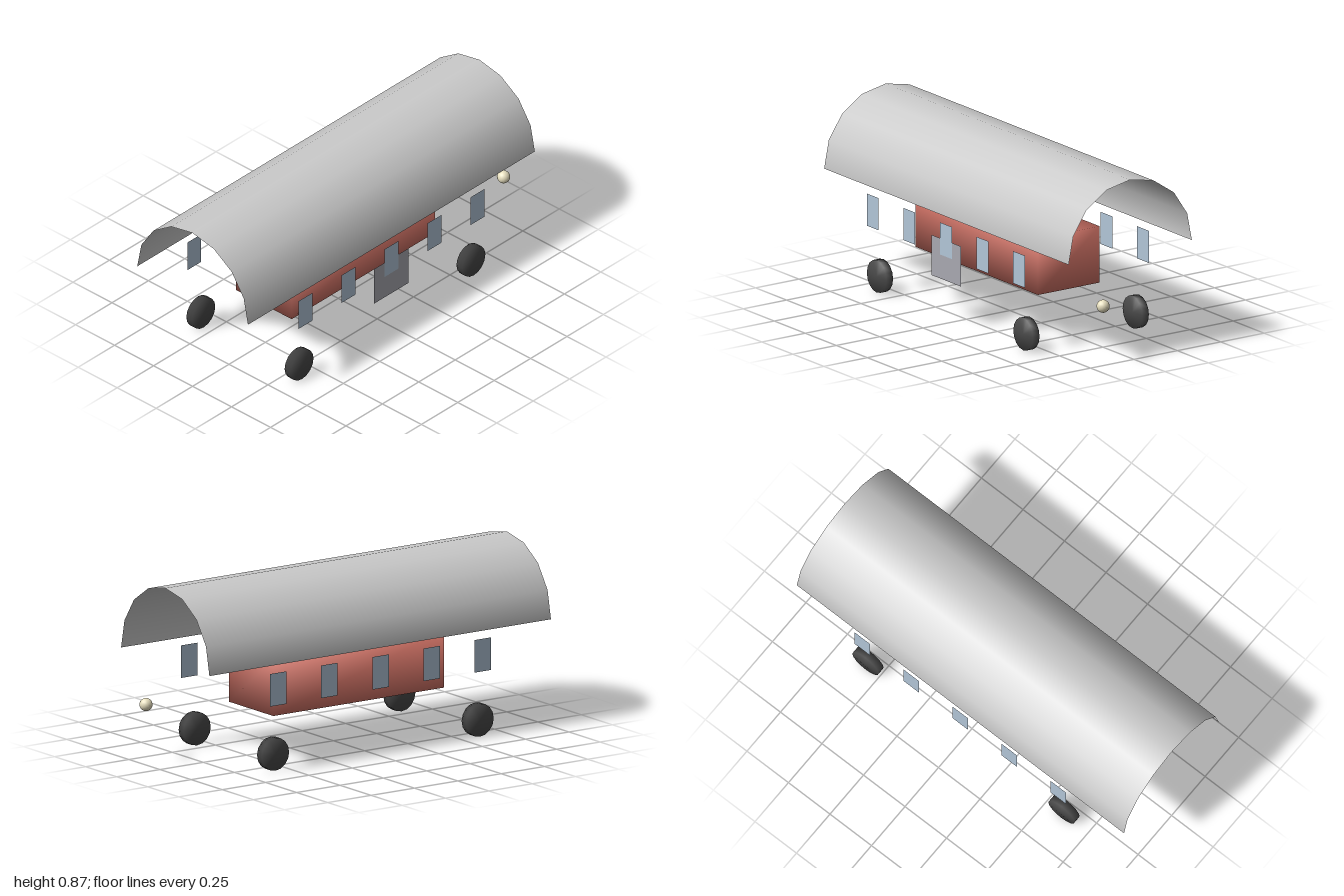
import * as THREE from 'three';
import { mergeVertices } from 'three/addons/utils/BufferGeometryUtils.js';

// Share corner vertices so shading rolls softly over every edge
function soften(geometry) {
  geometry.deleteAttribute('normal');
  geometry.deleteAttribute('uv');
  const merged = mergeVertices(geometry, 1e-4);
  merged.computeVertexNormals();
  return merged;
}

export function createModel() {
  const model = new THREE.Group();
  model.name = 'wagon';

  const paint = (color, side = THREE.FrontSide) => new THREE.MeshStandardMaterial({ color, side });
  const red = paint(0xd9776a);
  const rubber = paint(0x4a4a4a);
  const cream = paint(0xe8e0c0);
  const roofGrey = paint(0xc4c4c4, THREE.DoubleSide);
  const doorGrey = paint(0xa8a8b0, THREE.DoubleSide);
  const glass = paint(0xb2c6d8, THREE.DoubleSide);

  function add(name, geometry, material, x, y, z) {
    const mesh = new THREE.Mesh(geometry, material);
    mesh.name = name;
    mesh.position.set(x, y, z);
    model.add(mesh);
    return mesh;
  }

  // Body block
  add('body', soften(new THREE.BoxGeometry(0.356, 0.275, 0.985)), red, 0, 0.357, 0.018);

  // Open half-barrel roof
  const roof = new THREE.CylinderGeometry(0.355, 0.355, 1.97, 8, 1, true, -Math.PI / 2, Math.PI);
  roof.rotateX(-Math.PI / 2);
  add('roof', roof, roofGrey, 0, 0.515, 0.015);

  // Windows and wheels on both sides
  const pane = new THREE.PlaneGeometry(0.095, 0.157);
  const wheel = soften(new THREE.CylinderGeometry(0.079, 0.079, 0.038, 16).rotateZ(Math.PI / 2));
  for (const side of [1, -1]) {
    const label = side > 0 ? 'left' : 'right';
    for (let i = 0; i < 5; i++) {
      const window = add(`${label}Window${i + 1}`, pane, glass, side * 0.357, 0.398, 0.606 - i * 0.295);
      window.rotation.y = side * Math.PI / 2;
    }
    add(`${label}FrontWheel`, wheel, rubber, side * 0.315, 0.079, 0.606);
    add(`${label}BackWheel`, wheel, rubber, side * 0.315, 0.079, -0.574);
  }

  // Single side door panel
  const door = add('door', new THREE.PlaneGeometry(0.235, 0.196), doorGrey, 0.355, 0.3, 0.016);
  door.rotation.y = Math.PI / 2;

  // Rear lamp
  add('rearLamp', new THREE.SphereGeometry(0.031, 16, 12), cream, 0.156, 0.279, -0.969);

  return model;
}
